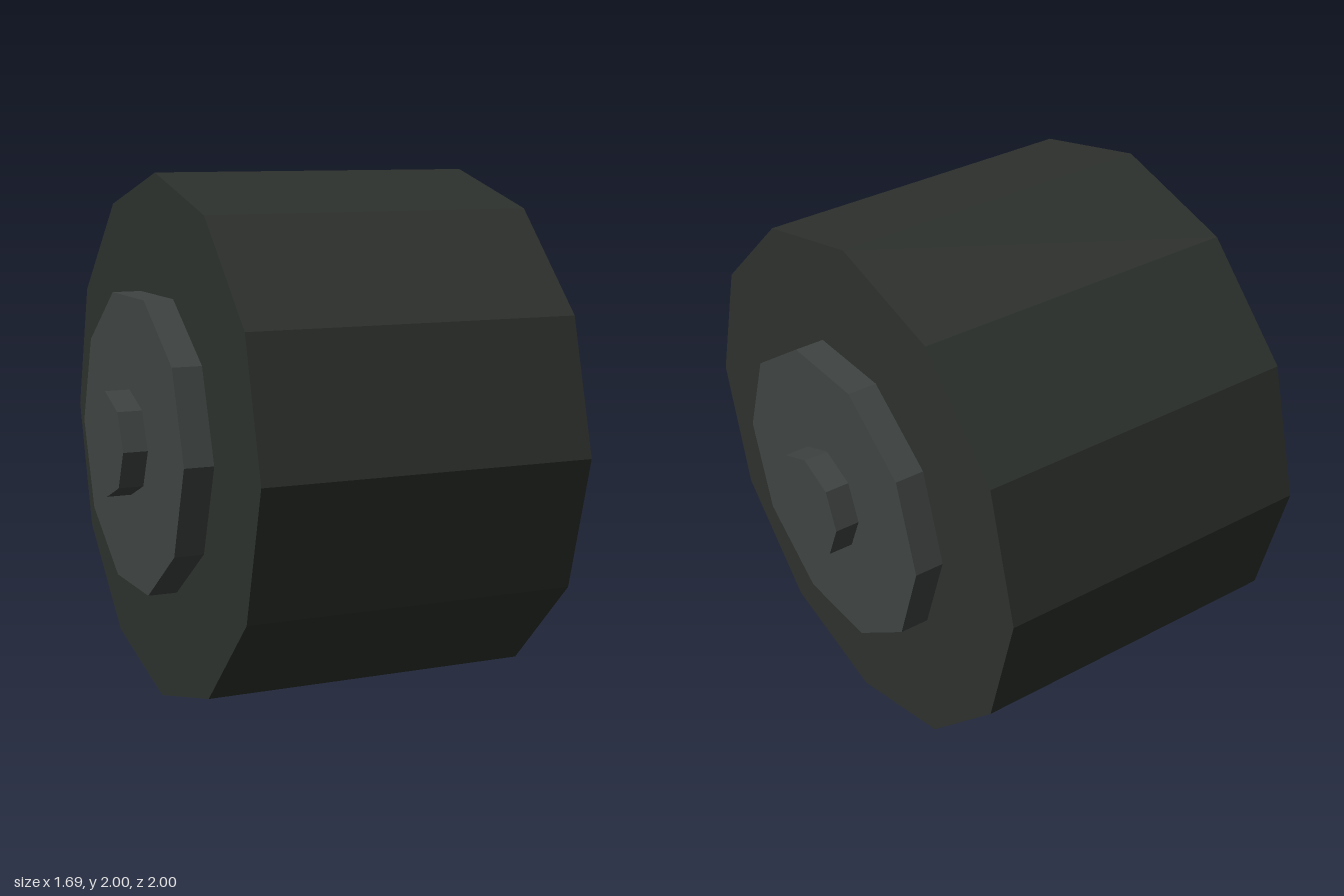
import * as THREE from 'three';

const rubber = new THREE.MeshStandardMaterial({ color: 0x2d312d, flatShading: true });
const metal = new THREE.MeshStandardMaterial({ color: 0x3f4442, flatShading: true });

// Faceted cylinder lying along x, with a corner pointing to +z
function drum(name, radius, width, sides, material) {
  const geometry = new THREE.CylinderGeometry(radius, radius, width, sides).rotateZ(Math.PI / 2);
  const mesh = new THREE.Mesh(geometry, material);
  mesh.name = name;
  mesh.position.y = 1;
  return mesh;
}

export function createModel() {
  const wheel = new THREE.Group();
  wheel.name = 'wheel';
  wheel.add(
    drum('tire', 1, 1.275, 12, rubber),
    drum('hub', 0.577, 1.5, 10, metal), // stands proud of both tire faces
    drum('axle', 0.2, 1.69, 8, metal) // passes through the hub
  );
  return wheel;
}
